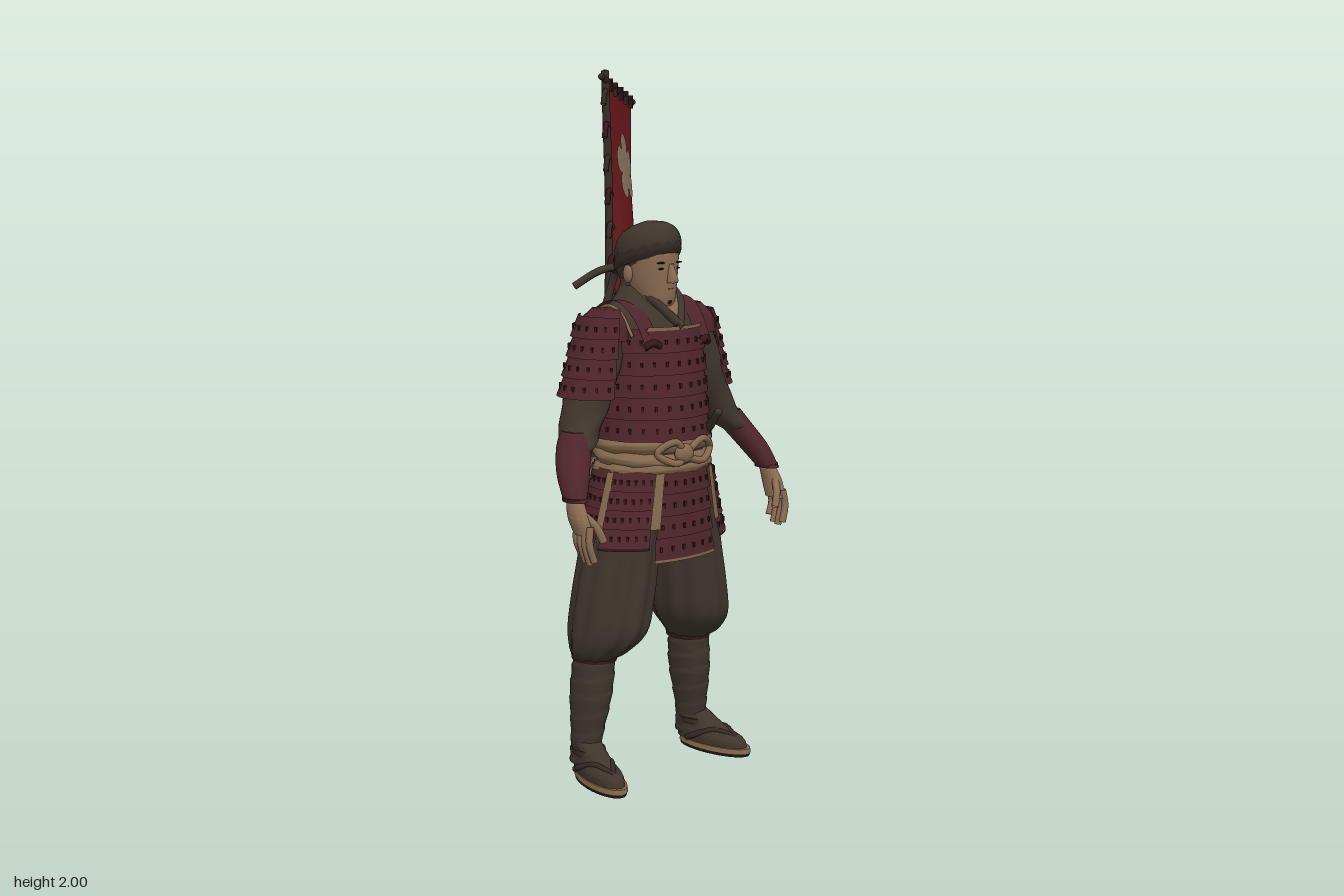
import * as THREE from 'three';
import { mergeVertices, mergeGeometries, toCreasedNormals } from 'three/addons/utils/BufferGeometryUtils.js';

const V = (x, y, z) => new THREE.Vector3(x, y, z);
const DEG = Math.PI / 180;
const lerp = THREE.MathUtils.lerp;

function material(name, color) {
  const m = new THREE.MeshStandardMaterial({ color, side: THREE.DoubleSide });
  m.name = name;
  return m;
}

// surface from a rule fn(u, v) -> Vector3
function grid(fn, nu, nv, crease = 0.9) {
  const pos = [], idx = [];
  for (let i = 0; i <= nu; i++) for (let j = 0; j <= nv; j++) pos.push(...fn(i / nu, j / nv).toArray());
  for (let i = 0; i < nu; i++) for (let j = 0; j < nv; j++) {
    const a = i * (nv + 1) + j, b = a + nv + 1;
    idx.push(a, b, a + 1, b, b + 1, a + 1);
  }
  const g = new THREE.BufferGeometry();
  g.setAttribute('position', new THREE.Float32BufferAttribute(pos, 3));
  g.setIndex(idx);
  return toCreasedNormals(mergeVertices(g, 1e-5), crease);
}

// smooth body through level rings [x, y, z, radiusX, radiusZ]
function loft(rings, { steps = 20, seg = 32, arc = [0, 360], tilt = 0, cap = true, mod = () => 1 } = {}) {
  const r = rings[0][1] > rings[rings.length - 1][1] ? [...rings].reverse() : rings;
  const centre = new THREE.CatmullRomCurve3(r.map(p => V(p[0], p[1], p[2])), false, 'catmullrom');
  const radius = new THREE.CatmullRomCurve3(r.map(p => V(p[3], p[4], 0)), false, 'catmullrom');
  const n = cap ? steps + 2 : steps;
  return grid((u, v) => {
    const i = Math.round(u * n);
    const t = cap ? THREE.MathUtils.clamp((i - 1) / steps, 0, 1) : u;
    const a = lerp(arc[0], arc[1], v) * DEG;
    const k = cap && (i === 0 || i === n) ? 0 : mod(a, t);
    const c = centre.getPoint(t), q = radius.getPoint(t);
    const dz = Math.sin(a) * q.y * k;
    return V(c.x + Math.cos(a) * q.x * k, c.y + tilt * dz, c.z + dz);
  }, n, seg);
}

const tube = (pts, r, n = 16) => new THREE.TubeGeometry(new THREE.CatmullRomCurve3(pts.map(p => V(...p))), n, r, 8);
const ball = (x, y, z, rx, ry, rz) => new THREE.SphereGeometry(1, 18, 12).scale(rx, ry, rz).translate(x, y, z);

// flat band along a path, its width lying along x
function ribbon(pts, w) {
  const c = new THREE.CatmullRomCurve3(pts.map(p => V(...p)));
  return grid((u, v) => c.getPoint(u).add(V((v - 0.5) * w, 0, 0)), 14, 2);
}

export function createModel() {
  const root = new THREE.Group();
  const armour = material('maroonArmour', 0x4e252a), lace = material('darkLacing', 0x36181c);
  const red = material('bannerRed', 0x6a181c), cloth = material('brownCloth', 0x3f352c);
  const dark = material('darkWood', 0x342a22), tan = material('tanCord', 0x85694d);
  const skin = material('skin', 0x8a6c53), crest = material('paleFlower', 0x8b755e), black = material('black', 0x1d1815);
  const add = (name, geo, mat) => {
    const m = new THREE.Mesh(geo, mat);
    m.name = name;
    root.add(m);
    return m;
  };

  // overlapping rows of armour with rows of lacing, between a top and a bottom ring
  function plates(name, arc, top, bottom, rows, knots) {
    const at = t => top.map((q, i) => lerp(q, bottom[i], t));
    const shells = [], laces = [];
    for (let k = 0; k < rows; k++) {
      const a = at(k / rows), b = at((k + 1.08) / rows);
      b[3] += 0.009; b[4] += 0.009;
      shells.push(loft([a, b], { steps: 1, arc, cap: false, seg: Math.max(8, Math.round((arc[1] - arc[0]) / 9)) }));
      const m = at((k + 0.6) / rows);
      for (let j = 0; j < knots; j++) {
        const w = lerp(arc[0], arc[1], (j + 0.5) / knots) * DEG;
        const g = new THREE.BoxGeometry(0.007, 0.014, 0.006).rotateY(Math.PI / 2 - w);
        laces.push(g.translate(m[0] + Math.cos(w) * (m[3] + 0.006), m[1], m[2] + Math.sin(w) * (m[4] + 0.006)));
      }
    }
    add(name, mergeGeometries(shells), armour);
    add(name + 'Lacing', mergeGeometries(laces), lace);
  }

  // torso, cuirass front and shorter back plate
  add('tunic', loft([[0, 0.86, 0.145, 0.16, 0.135], [0, 1.0, 0.143, 0.163, 0.136], [0, 1.15, 0.138, 0.165, 0.134],
    [0, 1.26, 0.135, 0.165, 0.114], [0, 1.32, 0.13, 0.15, 0.095], [0, 1.36, 0.13, 0.11, 0.078], [0, 1.41, 0.125, 0.066, 0.064]]), cloth);
  plates('cuirass', [-18, 198], [0, 1.29, 0.148, 0.154, 0.122], [0, 0.985, 0.152, 0.166, 0.15], 5, 16);
  plates('backPlate', [195, 345], [0, 1.29, 0.14, 0.158, 0.122], [0, 1.1, 0.143, 0.17, 0.14], 3, 11);
  plates('upperBackPlate', [205, 335], [0, 1.355, 0.132, 0.12, 0.08], [0, 1.28, 0.14, 0.16, 0.122], 2, 9);
  add('cuirassTopTrim', loft([[0, 1.285, 0.148, 0.158, 0.126], [0, 1.295, 0.148, 0.158, 0.126]], { steps: 1, cap: false, arc: [50, 130] }), tan);

  // neck, open collar
  add('neck', loft([[0, 1.3, 0.15, 0.055, 0.055], [-0.01, 1.42, 0.15, 0.05, 0.052]]), skin);
  add('bareChest', grid((u, v) => V((v - 0.5) * 0.085 * u, 1.295 + 0.1 * u, 0.271 - 0.068 * u), 4, 4), skin);
  add('collar', loft([[0, 1.345, 0.125, 0.086, 0.074], [-0.005, 1.42, 0.122, 0.066, 0.06]],
    { cap: false, steps: 4, arc: [160, 380], tilt: -0.15 }), cloth);
  for (const s of [1, -1]) add('collarEdge', tube([[s * 0.06, 1.405, 0.145], [s * 0.045, 1.36, 0.216], [-s * 0.005, 1.29, 0.27]], 0.013), cloth);

  // head
  const hx = -0.013;
  add('face', loft([[hx, 1.338, 0.2, 0.026, 0.03], [hx, 1.36, 0.185, 0.046, 0.055], [hx, 1.4, 0.165, 0.061, 0.078],
    [hx, 1.45, 0.155, 0.07, 0.09], [hx, 1.5, 0.15, 0.075, 0.093], [hx, 1.53, 0.15, 0.06, 0.07]]), skin);
  add('nose', loft([[hx, 1.413, 0.247, 0.015, 0.018], [hx, 1.425, 0.247, 0.014, 0.02], [hx, 1.465, 0.238, 0.008, 0.012]], { steps: 8, seg: 12 }), skin);
  add('mouth', ball(hx, 1.396, 0.237, 0.017, 0.003, 0.006), lace);
  add('chinBeard', ball(hx, 1.362, 0.233, 0.013, 0.012, 0.008), black);
  for (const s of [1, -1]) {
    add('ear', ball(hx + s * 0.072, 1.435, 0.145, 0.01, 0.026, 0.017), skin);
    add('eye', ball(hx + s * 0.029, 1.452, 0.236, 0.011, 0.003, 0.004), black);
    add('eyebrow', ball(hx + s * 0.03, 1.468, 0.237, 0.017, 0.003, 0.005), black);
  }
  add('headWrap', loft([[hx, 1.425, 0.13, 0.062, 0.072], [hx, 1.47, 0.142, 0.079, 0.095], [hx, 1.51, 0.148, 0.083, 0.102],
    [hx, 1.545, 0.148, 0.071, 0.09], [hx, 1.567, 0.148, 0.045, 0.06], [hx, 1.578, 0.146, 0.008, 0.01]],
    { tilt: 0.18, mod: a => 1 + 0.012 * Math.cos(16 * a) }), cloth);
  add('headBand', loft([[hx, 1.46, 0.143, 0.08, 0.098], [hx, 1.477, 0.145, 0.086, 0.105], [hx, 1.5, 0.147, 0.083, 0.102]],
    { steps: 6, tilt: 0.3, cap: false }), dark);
  add('bandKnot', ball(-0.035, 1.445, 0.045, 0.024, 0.02, 0.016), dark);
  add('bandTail', tube([[-0.04, 1.45, 0.055], [-0.1, 1.435, 0.035], [-0.16, 1.395, 0.003]], 0.011), cloth);
  add('bandTail', tube([[-0.04, 1.45, 0.045], [-0.035, 1.4, 0.022], [-0.045, 1.335, 0.005]], 0.011), cloth);

  // sash, knots, hanging tassel
  [0.895, 0.93, 0.965].forEach((y, i) => add('sash', loft([[0, y - 0.022, 0.153, 0.166, 0.146], [0, y, 0.153, 0.18, 0.157], [0, y + 0.022, 0.153, 0.166, 0.146]],
    { steps: 8, cap: false, tilt: [0.06, -0.05, 0.03][i], mod: a => 1 + 0.018 * Math.cos(9 * a + i * 2) }), tan));
  add('sashKnot', ball(-0.02, 0.945, 0.308, 0.032, 0.028, 0.02), tan);
  for (const s of [1, -1])
    add('sashBow', tube([[-0.02, 0.945, 0.311], [s * 0.05, 0.98, 0.308], [s * 0.1, 0.95, 0.285], [s * 0.05, 0.92, 0.311], [-0.02, 0.935, 0.311]], 0.01, 28), tan);
  add('backTassel', loft([[-0.085, 0.9, -0.006, 0.016, 0.014], [-0.09, 0.85, -0.013, 0.022, 0.014], [-0.09, 0.82, -0.014, 0.016, 0.012], [-0.095, 0.72, -0.016, 0.033, 0.012]],
    { mod: a => 1 + 0.08 * Math.cos(8 * a) }), tan);

  // armoured skirt with cloth strips hanging between the panels
  const skirt = [[62, 118], [14, 57], [123, 166], [-40, 9], [171, 220], [225, 268], [272, 315]];
  skirt.forEach((arc, i) => {
    const low = i ? 0.695 : 0.655, rx = 0.236, rz = i ? 0.155 : 0.148;
    plates('skirtPanel', arc, [0, 0.9, 0.155, 0.178, 0.148], [0, low, 0.155, rx, rz], 4, 6);
    add('skirtPanelTrim', loft([[0, low - 0.012, 0.155, rx + 0.01, rz + 0.01], [0, low - 0.004, 0.155, rx + 0.01, rz + 0.01]],
      { steps: 1, cap: false, arc, seg: 10 }), i ? lace : tan);
  });
  for (const a of [12, -22, 60, 120, 168, 202])
    add('hipStrip', loft([[0, 0.895, 0.155, 0.19, 0.16], [0, 0.82, 0.155, 0.212, 0.163], [0, 0.74, 0.155, 0.236, 0.166]],
      { steps: 6, cap: false, seg: 4, arc: [a - 4, a + 4] }), tan);

  for (const s of [1, -1]) {
    // shoulder straps and guards
    add('shoulderStrap', ribbon([[s * 0.095, 1.24, 0.265], [s * 0.1, 1.31, 0.225], [s * 0.105, 1.355, 0.175], [s * 0.105, 1.363, 0.125], [s * 0.1, 1.335, 0.055], [s * 0.1, 1.28, 0.03]], 0.055), armour);
    add('strapToggle', tube([[s * 0.075, 1.245, 0.268], [s * 0.1, 1.255, 0.267], [s * 0.12, 1.24, 0.252]], 0.01), lace);
    add('shoulderCord', tube([[s * 0.138, 1.27, 0.225], [s * 0.143, 1.33, 0.185], [s * 0.143, 1.35, 0.13], [s * 0.14, 1.31, 0.04]], 0.005), tan);
    add('shoulderCap', loft([[s * 0.165, 1.26, 0.13, 0.062, 0.088], [s * 0.163, 1.305, 0.13, 0.055, 0.08], [s * 0.155, 1.343, 0.132, 0.025, 0.05]]), armour);
    plates('shoulderGuard', s > 0 ? [-78, 78] : [102, 258], [s * 0.16, 1.325, 0.13, 0.06, 0.084], [s * 0.188, 1.11, 0.13, 0.1, 0.1], 4, 8);

    // arm, sleeve, forearm guard
    add('sleeve', loft([[s * 0.165, 1.3, 0.13, 0.045, 0.07], [s * 0.186, 1.2, 0.128, 0.058, 0.082], [s * 0.222, 1.1, 0.132, 0.058, 0.078],
      [s * 0.26, 1.03, 0.148, 0.053, 0.065], [s * 0.288, 0.985, 0.168, 0.047, 0.058], [s * 0.308, 0.955, 0.185, 0.03, 0.036]],
      { mod: (a, t) => 1 + 0.03 * Math.sin(3 * a + 22 * t) }), cloth);
    add('forearmGuard', loft([[s * 0.288, 1.02, 0.16, 0.036, 0.046], [s * 0.309, 0.975, 0.178, 0.045, 0.052], [s * 0.342, 0.915, 0.215, 0.041, 0.05],
      [s * 0.368, 0.85, 0.255, 0.029, 0.036]]), armour);
    add('wristCord', loft([[s * 0.366, 0.851, 0.251, 0.032, 0.037], [s * 0.366, 0.861, 0.251, 0.032, 0.037]], { steps: 1 }), lace);

    // hand
    add('palm', loft([[s * 0.367, 0.86, 0.25, 0.02, 0.026], [s * 0.371, 0.81, 0.27, 0.021, 0.037], [s * 0.367, 0.765, 0.287, 0.017, 0.036]]), skin);
    for (let i = 0; i < 4; i++) {
      const z = 0.262 + i * 0.018, d = [0.055, 0.075, 0.08, 0.07][i];
      add('finger', tube([[s * 0.368, 0.79, z], [s * 0.374, 0.77 - d * 0.4, z + 0.005], [s * 0.36, 0.765 - d, z + 0.008]], 0.01, 8), skin);
    }
    add('thumb', tube([[s * 0.364, 0.815, 0.29], [s * 0.344, 0.785, 0.315], [s * 0.328, 0.745, 0.325]], 0.011, 8), skin);

    // baggy trouser leg and knee tie
    add('trouserLeg', loft([[s * 0.185, 0.35, 0.112, 0.056, 0.064], [s * 0.178, 0.38, 0.13, 0.078, 0.092], [s * 0.158, 0.44, 0.144, 0.1, 0.125],
      [s * 0.14, 0.54, 0.148, 0.104, 0.128], [s * 0.12, 0.66, 0.15, 0.1, 0.125], [s * 0.1, 0.78, 0.15, 0.1, 0.127], [s * 0.085, 0.9, 0.15, 0.085, 0.12]],
      { seg: 66, steps: 28, mod: (a, t) => 1 + 0.035 * Math.cos(11 * a + 1.5 * t) }), cloth);
    add('kneeTie', loft([[s * 0.183, 0.345, 0.113, 0.06, 0.07], [s * 0.183, 0.365, 0.113, 0.062, 0.072]], { steps: 2 }), lace);

    // wrapped shin
    add('shinWrap', loft([[s * 0.207, 0.04, 0.1, 0.038, 0.048], [s * 0.204, 0.12, 0.105, 0.041, 0.05], [s * 0.192, 0.25, 0.11, 0.054, 0.066], [s * 0.183, 0.36, 0.115, 0.055, 0.062]],
      { steps: 56, mod: (a, t) => 1 + 0.06 * ((t * 7 + a / (2 * Math.PI)) % 1) }), cloth);

    // sandalled foot, toes turned out
    const foot = new THREE.Group();
    foot.name = 'foot';
    foot.position.set(s * 0.222, 0, 0.178);
    foot.rotation.y = s * 0.2;
    root.add(foot);
    const put = (n, g, m) => foot.add(add(n, g, m));
    const shape = a => 1 + 0.1 * Math.sin(a);
    put('sandalBase', loft([[0, 0, 0, 0.05, 0.12], [0, 0.01, 0, 0.052, 0.122]], { steps: 1, mod: shape }), black);
    put('sandalSole', loft([[0, 0.01, 0, 0.053, 0.124], [0, 0.024, 0, 0.051, 0.122]], { steps: 1, mod: shape }), tan);
    put('sock', loft([[0, 0.023, 0.003, 0.048, 0.121], [0, 0.045, -0.003, 0.048, 0.114], [0, 0.07, -0.03, 0.04, 0.08], [0, 0.11, -0.068, 0.035, 0.045]]), cloth);
    for (const q of [1, -1]) put('sandalStrap', tube([[0, 0.05, 0.085], [q * 0.025, 0.066, 0.03], [q * 0.046, 0.045, -0.03], [q * 0.044, 0.03, -0.06]], 0.009), dark);
    put('ankleStrap', loft([[0, 0.075, -0.055, 0.046, 0.06], [0, 0.09, -0.06, 0.046, 0.057]], { steps: 2 }), dark);
  }

  // sheathed sword
  const blade = new THREE.CatmullRomCurve3([V(0.055, 1.06, 0.365), V(0.115, 0.98, 0.25), V(0.168, 0.88, 0.06), V(0.198, 0.785, -0.1), V(0.217, 0.695, -0.235)]);
  const part = (a, b) => [0, 0.25, 0.5, 0.75, 1].map(t => blade.getPointAt(lerp(a, b, t)).toArray());
  const stick = (n, a, b, r, m) => {
    add(n, tube(part(a, b), r), m);
    for (const t of [a, b]) add(n + 'End', ball(...part(t, t)[0], r, r, r), m);
  };
  stick('scabbard', 0.24, 1, 0.014, dark);
  stick('swordGrip', 0, 0.22, 0.011, cloth);
  const guard = add('swordGuard', new THREE.CylinderGeometry(0.026, 0.026, 0.008, 20), black);
  guard.position.copy(blade.getPointAt(0.23));
  guard.quaternion.setFromUnitVectors(V(0, 1, 0), blade.getTangentAt(0.23));

  // banner pole and crossbar
  const pole = new THREE.CatmullRomCurve3([V(-0.085, 0.86, -0.01), V(-0.05, 1.1, -0.008), V(-0.015, 1.25, -0.025), V(0.05, 1.55, -0.09), V(0.125, 1.995, -0.195)]);
  add('bannerPole', new THREE.TubeGeometry(pole, 30, 0.012, 10), dark);
  add('poleTip', ball(0.125, 1.99, -0.195, 0.012, 0.01, 0.012), dark);
  add('poleHolder', new THREE.BoxGeometry(0.09, 0.04, 0.03).translate(-0.025, 1.22, -0.004), lace);
  const bar = [V(0.075, 1.978, -0.152), V(0.38, 1.908, -0.362)];
  add('crossbar', new THREE.TubeGeometry(new THREE.LineCurve3(...bar), 1, 0.009, 10), dark);
  bar.forEach(p => add('crossbarEnd', ball(p.x, p.y, p.z, 0.01, 0.01, 0.01), dark));

  // banner cloth, its flower laid on both faces, and its ties
  const [TL, TR, BL, BR] = [V(0.125, 1.955, -0.186), V(0.365, 1.9, -0.35), V(0.005, 1.195, -0.005), V(0.25, 1.215, -0.222)];
  const out = V(0.56, 0, 0.83);
  const sheet = (u, v, off = 0) => TL.clone().lerp(TR, u).lerp(BL.clone().lerp(BR, u), v)
    .addScaledVector(out, off + 0.035 * Math.sin(u * Math.PI) * Math.pow(Math.sin(v * 2.3), 2) + 0.008 * v * v * Math.sin(u * 9));
  add('banner', grid((u, v) => sheet(v, u), 36, 18), red);
  for (const off of [0.005, -0.005]) add('bannerFlower', grid((r, t) => {
    const a = t * 2 * Math.PI, k = r * (0.6 + 0.4 * Math.pow(Math.abs(Math.cos(2.5 * a)), 0.5));
    return sheet(0.48 + 0.32 * k * Math.sin(a), 0.297 - 0.138 * k * Math.cos(a), off);
  }, 6, 80), crest);
  for (let i = 0; i < 8; i++) {
    const p = sheet(0.01, 0.04 + i * 0.125), q = p.clone().add(V(-0.022, 0.004, 0.014));
    add('poleTie', tube([p.toArray(), [q.x, q.y + 0.01, q.z], [q.x - 0.014, q.y - 0.03, q.z + 0.008]], 0.008, 8), i % 2 ? lace : dark);
  }
  for (let i = 0; i < 5; i++) {
    const p = sheet(0.08 + i * 0.21, 0.0);
    add('crossbarTie', new THREE.BoxGeometry(0.016, 0.04, 0.02).rotateY(0.6).translate(p.x, p.y + 0.004, p.z), i % 2 ? dark : lace);
  }
  return root;
}
